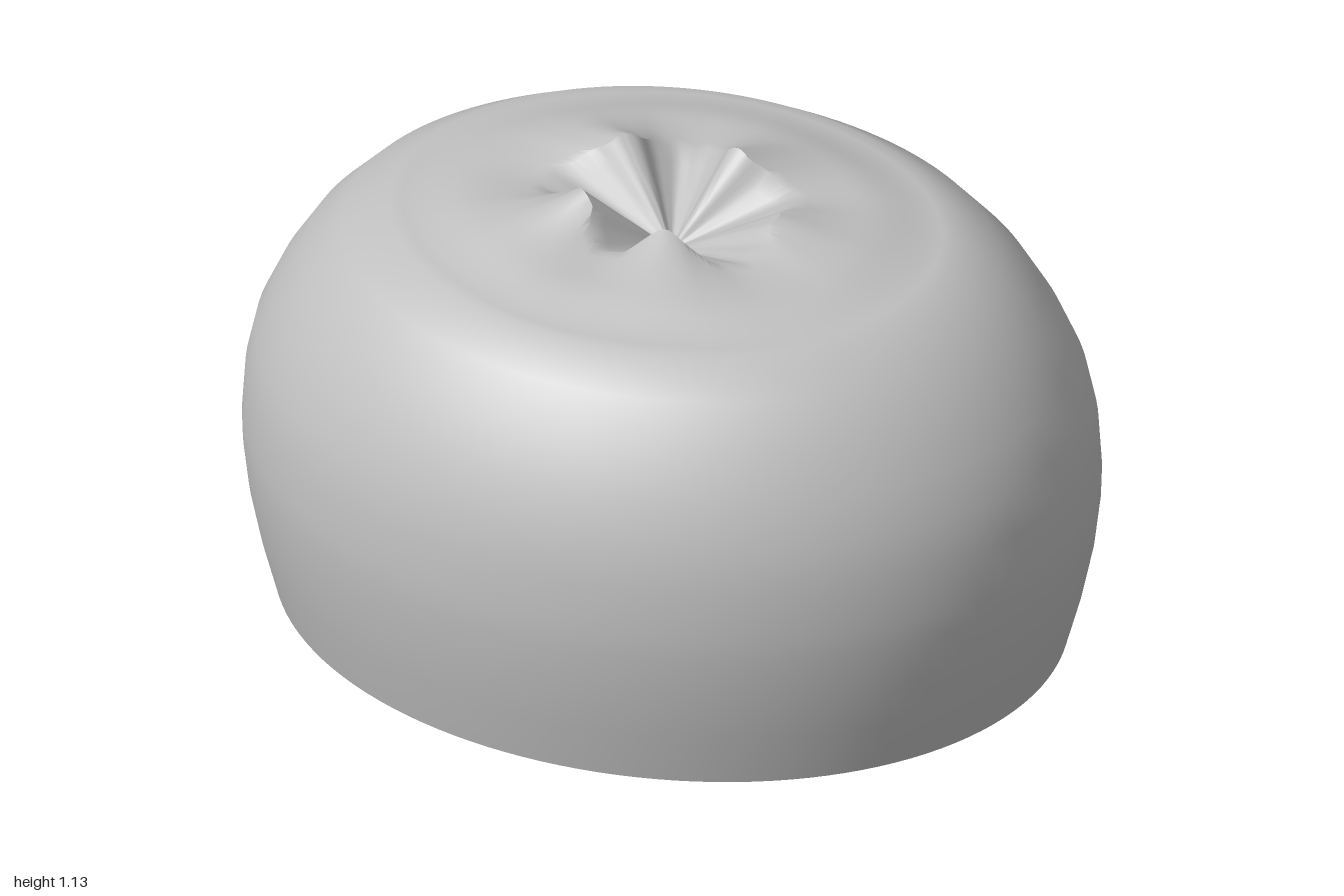
import * as THREE from 'three';
import { toCreasedNormals } from 'three/addons/utils/BufferGeometryUtils.js';

const DEPTH = 0.825;      // front-to-back squash of the oval body
const SEGMENTS = 128;
const RIM = 0.28;         // nominal radius of the pucker's edge
const EDGE = 0.66;        // where the crumpled top meets the wall
const PIT = 0.93;         // height of the pucker's centre

// Folds around the pucker: [angle from +x towards +z in degrees, height]
const FOLDS = [[0, 0.045], [72, 0.07], [140, 0.092], [217, 0.085], [298, 0.083]];

// Revolved, oval surface from [radius, height] pairs
function ovalLathe(profile, deform) {
  const geo = new THREE.LatheGeometry(profile.map(([r, y]) => new THREE.Vector2(r, y)), SEGMENTS);
  geo.scale(1, 1, DEPTH);
  if (deform) deform(geo.attributes.position);
  geo.deleteAttribute('normal');
  geo.deleteAttribute('uv');
  return toCreasedNormals(geo, 0.7);
}

// Raised height of the folds at an angle, measured on the pucker's rim
function foldHeight(angle) {
  let sum = 0;
  for (const [deg, height] of FOLDS) {
    const a = angle - THREE.MathUtils.degToRad(deg);
    const d = Math.atan2(Math.sin(a), Math.cos(a));
    sum += height * Math.exp(-((d / 0.36) ** 2));
  }
  return sum;
}

// Gentle dome of the top before it is puckered
function domeHeight(r) {
  return 1.037 - 0.032 * THREE.MathUtils.smoothstep(r, 0.45, EDGE);
}

// Pull the centre down and gather the top into radial folds
function pucker(pos) {
  for (let i = 0; i < pos.count; i++) {
    const x = pos.getX(i), z = pos.getZ(i);
    const r = Math.hypot(x, z / DEPTH);
    if (r > EDGE - 0.001 || pos.getY(i) < 0.9) continue;
    const angle = Math.atan2(z, x);
    const fold = foldHeight(angle);
    // Folds reach inward, valleys reach outward with fine wrinkles
    const valley = 1 - Math.min(1, fold / 0.07);
    const rim = 0.23 + 0.08 * valley + 0.01 * Math.cos(23 * angle) * valley;
    let newR, y;
    if (r <= RIM) {
      const t = r / RIM;
      newR = rim * t;
      y = THREE.MathUtils.lerp(PIT, domeHeight(rim) + fold, t);
    } else {
      const t = (r - RIM) / (EDGE - RIM);
      newR = THREE.MathUtils.lerp(rim, EDGE, t);
      y = domeHeight(newR) + fold * Math.max(0, 1 - t * 1.25) ** 1.6;
    }
    const k = r > 1e-6 ? newR / r : 0;
    pos.setXYZ(i, x * k, y, z * k);
  }
}

export function createModel() {
  const group = new THREE.Group();
  group.name = 'puckeredShell';
  const grey = new THREE.MeshStandardMaterial({ color: 0xc0c0c0 });
  grey.name = 'light grey';

  const add = (name, geometry) => {
    const mesh = new THREE.Mesh(geometry, grey);
    mesh.name = name;
    group.add(mesh);
  };

  // Outer wall, rising to the puckered top
  const wall = [
    [0.925, 0], [0.96, 0.13], [0.985, 0.25], [0.998, 0.36], [1, 0.42], [0.992, 0.54],
    [0.97, 0.64], [0.925, 0.74], [0.86, 0.845], [0.77, 0.94], [EDGE, 1.005],
  ];
  const top = [];
  for (let i = 1; i <= 12; i++) top.push([THREE.MathUtils.lerp(EDGE, RIM, i / 12), 1.03]);
  for (let i = 1; i <= 6; i++) top.push([RIM * (1 - i / 6), 1.03]);
  add('outerShell', ovalLathe([...wall, ...top], pucker));

  // Flat ring it stands on
  add('baseRing', ovalLathe([[0.717, 0], [0.925, 0]]));

  // Hollow inside, listed from its ceiling down
  add('cavity', ovalLathe([
    [0, 0.83], [0.25, 0.825], [0.45, 0.8], [0.58, 0.74], [0.68, 0.64],
    [0.75, 0.52], [0.78, 0.4], [0.775, 0.25], [0.75, 0.12], [0.717, 0],
  ]));

  return group;
}
